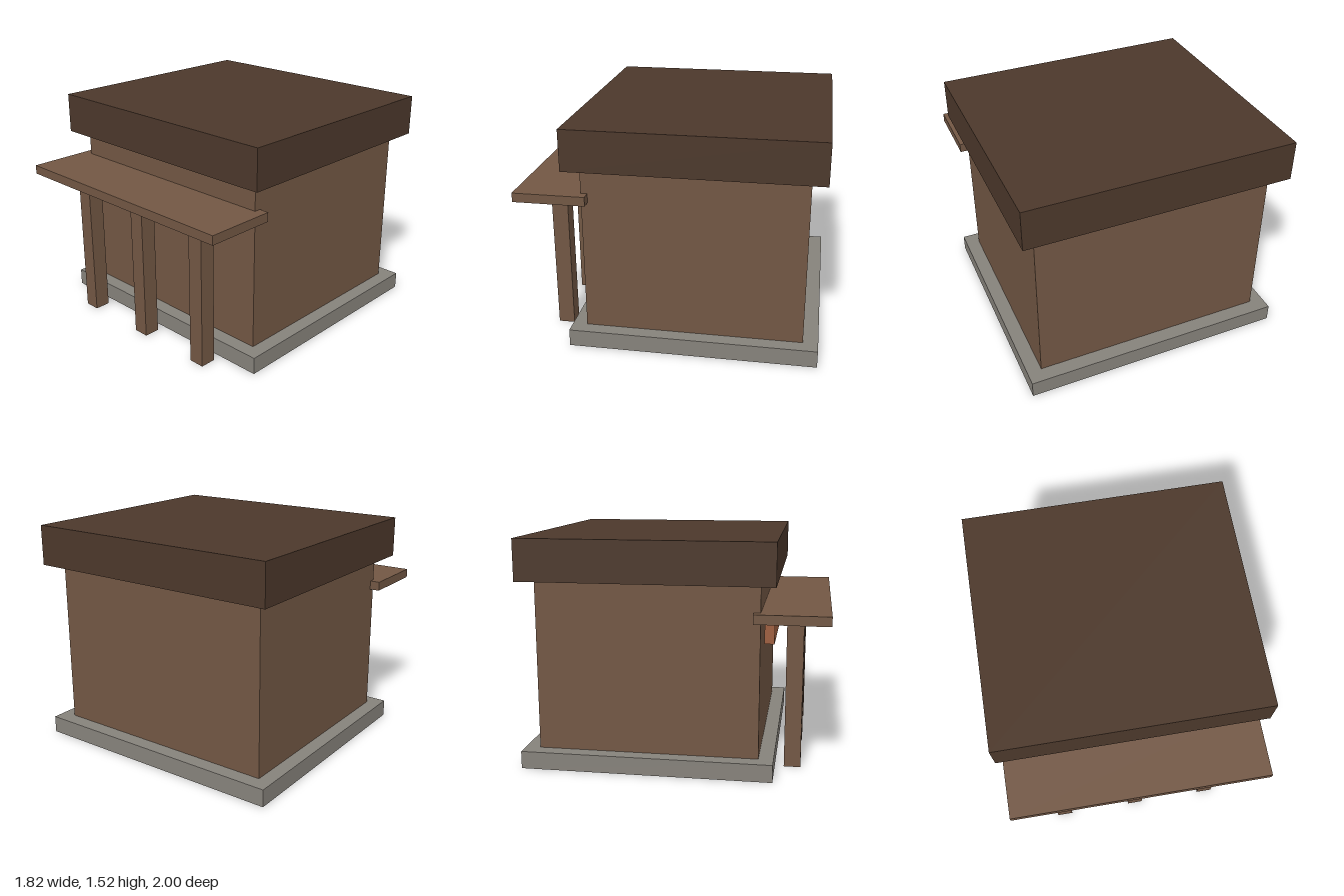
import * as THREE from 'three';

function makeMaterial(name, color) {
  const material = new THREE.MeshStandardMaterial({ color });
  material.name = name;
  return material;
}

export function createModel() {
  const group = new THREE.Group();
  group.name = 'stallHouse';

  const wood = makeMaterial('wood', 0x725744);
  const roofBrown = makeMaterial('darkBrown', 0x4c382b);
  const stone = makeMaterial('stone', 0x86827b);
  const cloth = makeMaterial('orangeCloth', 0x9e5f3f);

  // Box given by its extents along each axis
  function addBox(name, material, [x0, x1], [y0, y1], [z0, z1]) {
    const mesh = new THREE.Mesh(new THREE.BoxGeometry(x1 - x0, y1 - y0, z1 - z0), material);
    mesh.position.set((x0 + x1) / 2, (y0 + y1) / 2, (z0 + z1) / 2);
    mesh.name = name;
    group.add(mesh);
  }

  // Main building
  addBox('foundation', stone, [-0.91, 0.91], [0, 0.117], [-1, 0.66]);
  addBox('walls', wood, [-0.812, 0.812], [0.117, 1.25], [-0.9, 0.562]);
  addBox('roof', roofBrown, [-0.91, 0.91], [1.25, 1.525], [-1, 0.66]);

  // Front canopy on three posts
  addBox('canopy', wood, [-0.88, 0.88], [1.013, 1.075], [0.518, 1]);
  for (const [name, x] of [['rightPost', -0.555], ['middlePost', 0], ['leftPost', 0.555]]) {
    addBox(name, wood, [x - 0.055, x + 0.055], [0, 1.013], [0.72, 0.83]);
  }

  // Hanging curtain below the canopy
  addBox('curtain', cloth, [-0.55, 0.55], [0.82, 0.982], [0.572, 0.638]);

  return group;
}
